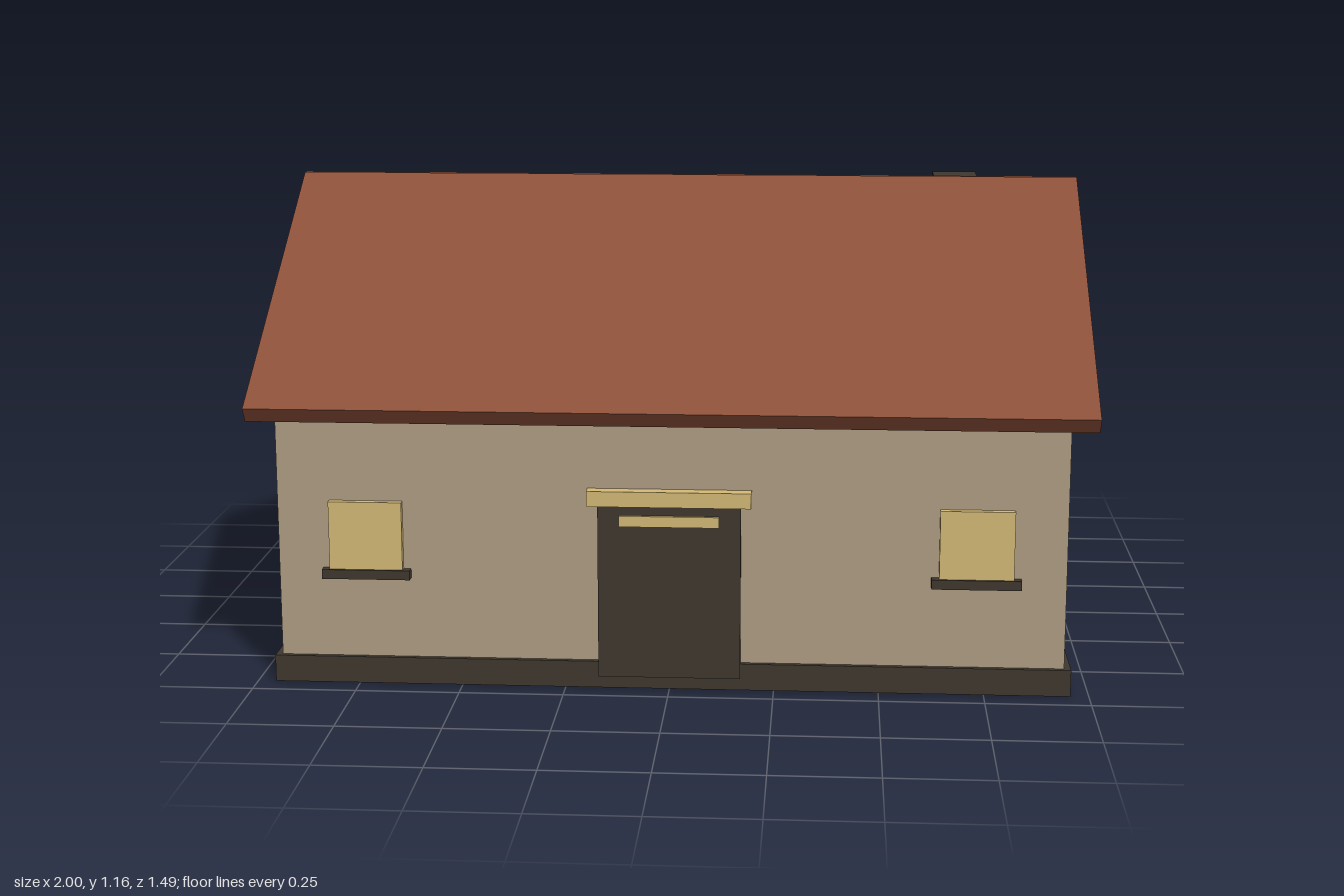
import * as THREE from 'three';

export function createModel() {
  const house = new THREE.Group();
  house.name = 'house';

  const material = (name, color) => {
    const m = new THREE.MeshStandardMaterial({ color });
    m.name = name;
    return m;
  };
  const plaster = material('plaster', 0xb09e84);
  const roofTile = material('roofTile', 0x8c5039);
  const darkStone = material('darkStone', 0x403830);
  const paleWood = material('paleWood', 0xd6ba78);

  const add = (name, geometry, mat) => {
    const mesh = new THREE.Mesh(geometry, mat);
    mesh.name = name;
    house.add(mesh);
    return mesh;
  };
  // Box given by its lower and upper corners
  const box = (name, mat, [x0, y0, z0], [x1, y1, z1]) => {
    const mesh = add(name, new THREE.BoxGeometry(x1 - x0, y1 - y0, z1 - z0), mat);
    mesh.position.set((x0 + x1) / 2, (y0 + y1) / 2, (z0 + z1) / 2);
    return mesh;
  };

  // Walls: gabled outline extruded along x
  const wallZ = 0.68, wallX = 0.94;
  const outline = new THREE.Shape([
    [-wallZ, 0], [wallZ, 0], [wallZ, 0.665], [0, 1.112], [-wallZ, 0.665],
  ].map(([x, y]) => new THREE.Vector2(x, y)));
  const walls = new THREE.ExtrudeGeometry(outline, { depth: 2 * wallX, bevelEnabled: false });
  walls.translate(0, 0, -wallX).rotateY(Math.PI / 2);
  add('walls', walls, plaster);

  // Plinth, a hair above the wall base
  box('plinth', darkStone, [-0.956, 0.001, -0.692], [0.956, 0.066, 0.692]);

  // Two roof slabs with square ends meeting at the ridge
  const pitch = Math.atan2(0.475, 0.739), length = 0.879, thickness = 0.042;
  for (const side of [1, -1]) {
    const slab = new THREE.BoxGeometry(2, thickness, length);
    slab.translate(0, -thickness / 2, length / 2).rotateX(pitch).translate(0, 1.162, 0.008);
    if (side < 0) slab.rotateY(Math.PI);
    add(side > 0 ? 'frontRoof' : 'backRoof', slab, roofTile);
  }

  // Chimney on the back slope
  box('chimney', darkStone, [0.645, 0.85, -0.328], [0.76, 1.138, -0.212]);

  // Door with lintel and light strip
  box('door', darkStone, [-0.17, 0.03, 0.66], [0.17, 0.457, 0.697]);
  box('doorLintel', paleWood, [-0.195, 0.454, 0.675], [0.195, 0.491, 0.713]);
  box('doorLight', paleWood, [-0.119, 0.404, 0.69], [0.119, 0.43, 0.705]);

  // Windows and sills
  for (const [side, x] of [['left', 0.727], ['right', -0.727]]) {
    box(side + 'Window', paleWood, [x - 0.088, 0.28, 0.67], [x + 0.088, 0.452, 0.697]);
    box(side + 'Sill', darkStone, [x - 0.106, 0.263, 0.67], [x + 0.106, 0.286, 0.703]);
  }

  return house;
}
